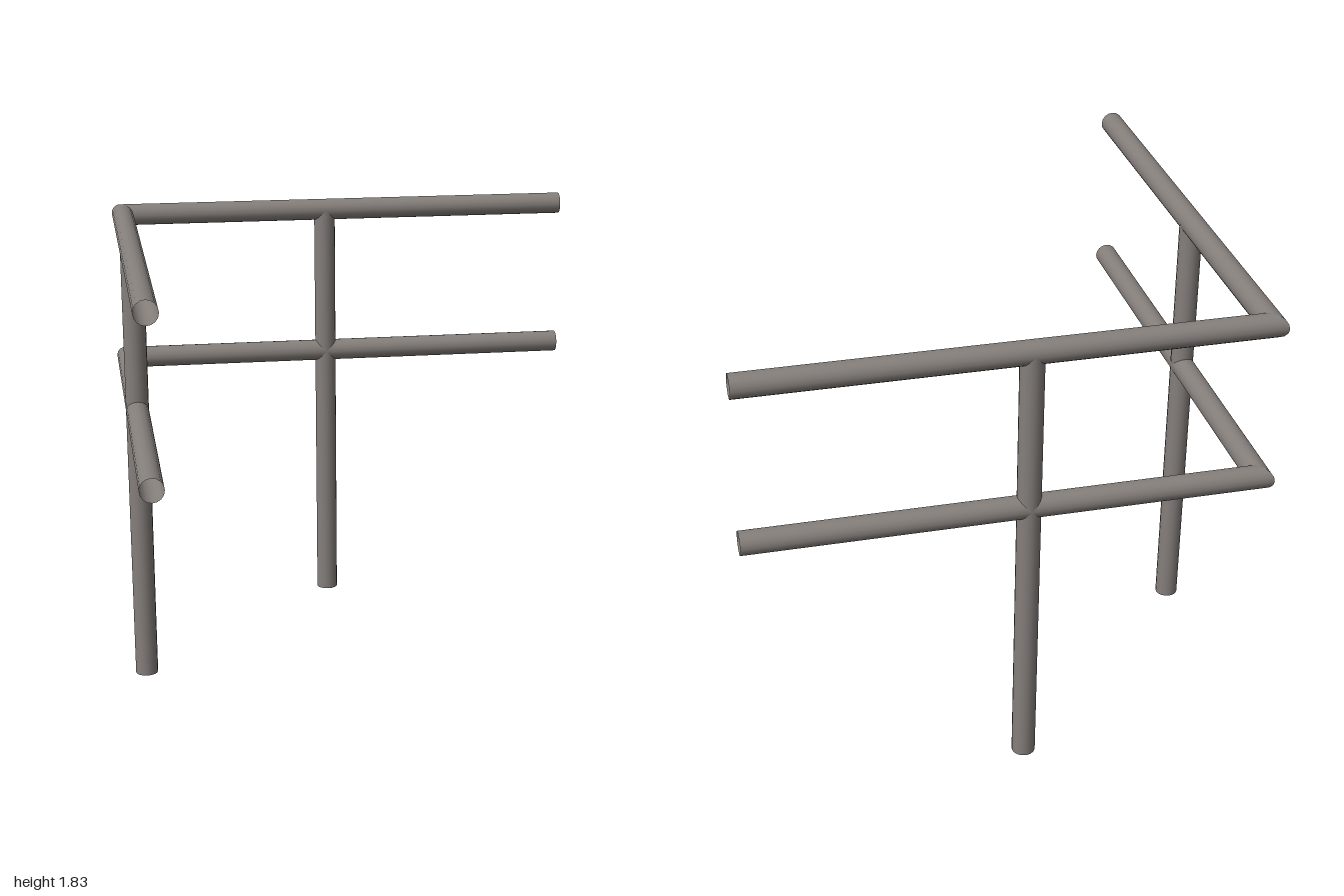
import * as THREE from 'three';

const R = 0.046;          // pipe radius
const C = -1 + R;         // centre line of both rail runs
const RAILS = [1.78, 1.14];
const POST = -0.065;      // distance of each post along its run
const SIDES = 16;

export function createModel() {
  const group = new THREE.Group();
  const steel = new THREE.MeshStandardMaterial({ color: 0x857f7b, side: THREE.DoubleSide });
  steel.name = 'greySteel';

  const add = (name, geometry) => {
    const mesh = new THREE.Mesh(geometry, steel);
    mesh.name = name;
    group.add(mesh);
  };
  // hollow, open-ended pipe standing on y
  const pipe = (length) => new THREE.CylinderGeometry(R, R, length, SIDES, 1, true);

  // rail run along x or z, its corner end cut on the mitre plane x = z
  const rail = (axis, y) => {
    const geometry = pipe(1 - C);
    const mid = (1 + C) / 2;
    if (axis === 'x') geometry.rotateZ(-Math.PI / 2).translate(mid, y, C);
    else geometry.rotateX(Math.PI / 2).translate(C, y, mid);
    const p = geometry.attributes.position;
    for (let i = 0; i < p.count; i++) {
      if (axis === 'x' && p.getX(i) < 0) p.setX(i, p.getZ(i));
      if (axis === 'z' && p.getZ(i) < 0) p.setZ(i, p.getX(i));
    }
    return geometry;
  };

  // top and middle rails, each turning the corner
  RAILS.forEach((y, i) => {
    const level = i === 0 ? 'top' : 'middle';
    add(level + 'RailBack', rail('x', y));
    add(level + 'RailSide', rail('z', y));
  });

  // posts reaching the centre of the top rail
  const h = RAILS[0];
  add('postBack', pipe(h).translate(POST, h / 2, C));
  add('postSide', pipe(h).translate(C, h / 2, POST));

  return group;
}
